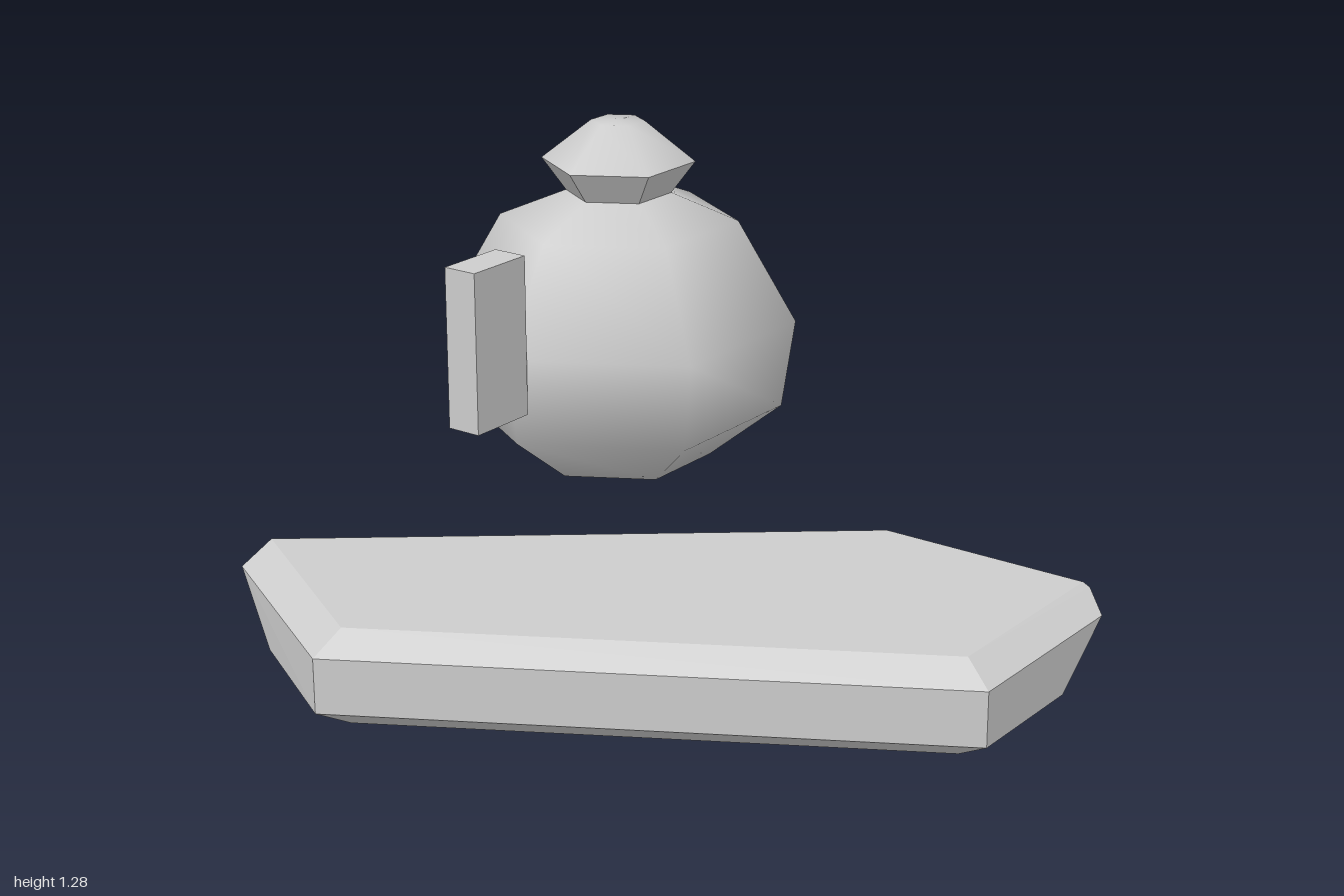
import * as THREE from 'three';
import { ConvexGeometry } from 'three/addons/geometries/ConvexGeometry.js';

export function createModel() {
  const model = new THREE.Group();
  const grey = new THREE.MeshStandardMaterial({ color: 0xcccccc });
  grey.name = 'light grey';

  const add = (name, geometry, parent = model) => {
    const mesh = new THREE.Mesh(geometry, grey);
    mesh.name = name;
    parent.add(mesh);
    return mesh;
  };

  // Six-sided turned part with corners on the x axis; profile is [radius, y]
  const turned = (profile) => new THREE.LatheGeometry(
    profile.map(([r, y]) => new THREE.Vector2(r, y)), 6, Math.PI / 2);

  // Pot: smooth body, faceted neck, smooth lid knob
  const pot = new THREE.Group();
  pot.name = 'pot';
  pot.position.set(0.456, 0, -0.563);
  model.add(pot);
  add('potBody', turned([
    [0, 0.32], [0.255, 0.32], [0.458, 0.475], [0.495, 0.725], [0.333, 1.01], [0.147, 1.085],
  ]), pot);
  const neck = turned([[0.147, 1.085], [0.214, 1.175]]).toNonIndexed();
  neck.computeVertexNormals();
  add('potNeck', neck, pot);
  add('lidKnob', turned([[0.214, 1.175], [0.075, 1.285], [0, 1.285]]), pot);

  // Handle: upright block beside the pot
  add('handle', new THREE.BoxGeometry(0.205, 0.445, 0.1))
    .position.set(-0.117, 0.797, -0.563);

  // Slab: bevelled, undercut stone, listed level by level
  const slab = [
    // underside
    [-0.07, 0, 0.89], [-0.83, 0, -0.435], [-0.715, 0, -0.62], [0.27, 0, 0.6], [0.2, 0, 0.89],
    // lower bevel edge
    [-0.95, 0.07, -0.44], [-0.125, 0.07, 1], [0.25, 0.07, 1], [-0.74, 0.07, -0.8],
    // right corner
    [0.48, 0.155, 0.55], [0.5, 0.26, 0.93],
    // upper bevel edge
    [-0.95, 0.22, -0.44], [-0.125, 0.22, 1], [0.44, 0.22, 1], [-0.63, 0.22, -1],
    // top face
    [-0.53, 0.27, -0.985], [-0.85, 0.27, -0.435], [-0.075, 0.27, 0.91],
    [0.5, 0.27, 0.91], [0.5, 0.27, 0.31],
  ].map((p) => new THREE.Vector3(...p));
  add('slab', new ConvexGeometry(slab));

  return model;
}
